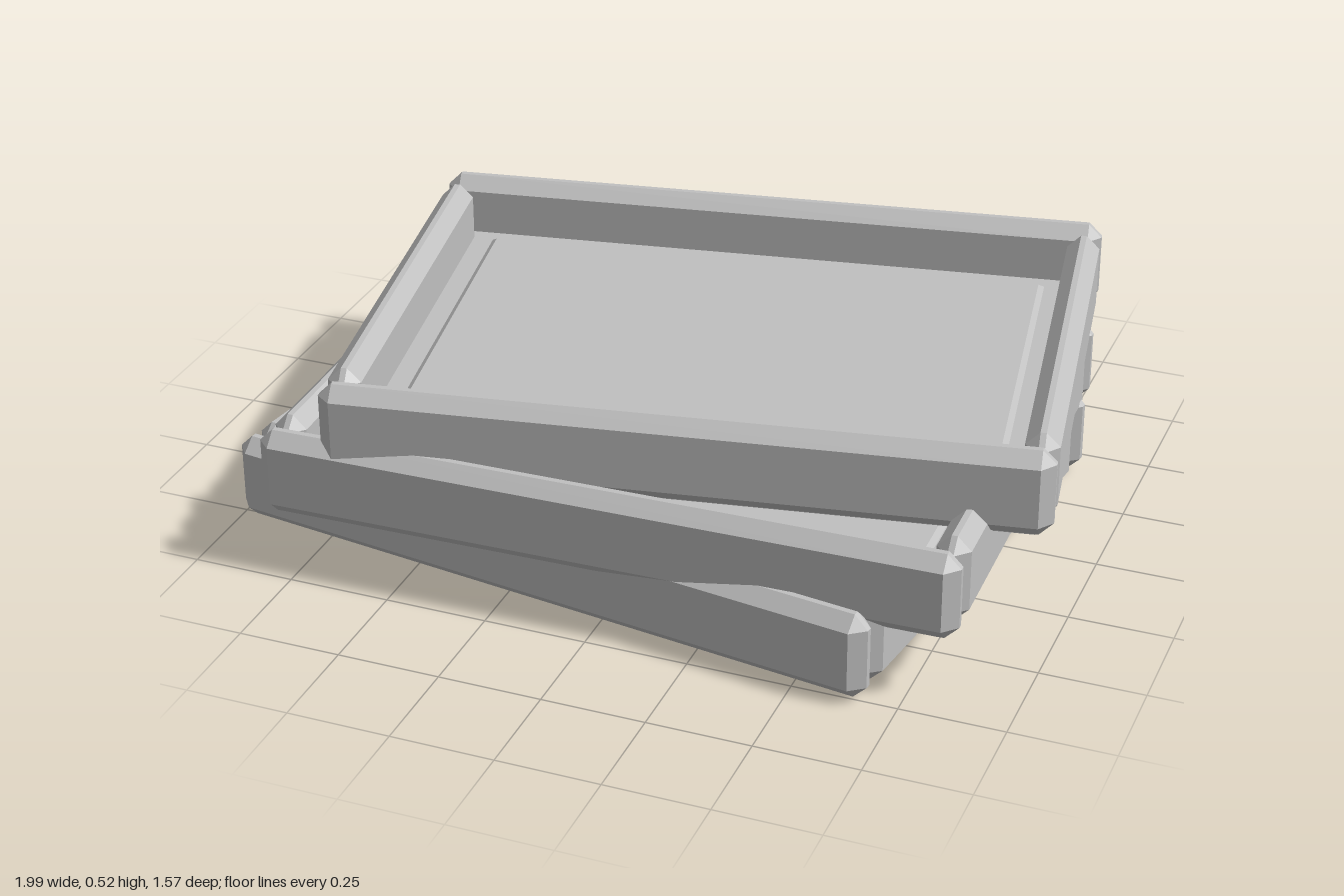
import * as THREE from 'three';
import { ConvexGeometry } from 'three/addons/geometries/ConvexGeometry.js';

const WIDTH = 1.69, DEPTH = 1.25, WALL = 0.08, BEVEL = 0.033;

// Box with every edge and corner cut off
function bevelledBox(w, h, d, c) {
  const points = [];
  const [x, y, z] = [w / 2, h / 2, d / 2];
  for (const sx of [-1, 1]) for (const sy of [-1, 1]) for (const sz of [-1, 1]) {
    points.push(
      new THREE.Vector3(sx * x, sy * (y - c), sz * (z - c)),
      new THREE.Vector3(sx * (x - c), sy * y, sz * (z - c)),
      new THREE.Vector3(sx * (x - c), sy * (y - c), sz * z)
    );
  }
  return new ConvexGeometry(points);
}

// Flat plate whose upper edge slopes inward
function raisedPlate(w, h, d, inset) {
  const points = [];
  for (const sx of [-1, 1]) for (const sz of [-1, 1]) {
    points.push(
      new THREE.Vector3(sx * w / 2, 0, sz * d / 2),
      new THREE.Vector3(sx * (w / 2 - inset), h, sz * (d / 2 - inset))
    );
  }
  return new ConvexGeometry(points);
}

export function createModel() {
  const grey = new THREE.MeshStandardMaterial({ color: 0xc0c0c0 });
  grey.name = 'plain grey';

  const wallHeight = 0.215, wallY = 0.007 + wallHeight / 2;
  const longWall = bevelledBox(WIDTH, wallHeight, WALL, BEVEL);
  const shortWall = bevelledBox(WALL, wallHeight, DEPTH - 2 * WALL, BEVEL);
  const floor = new THREE.BoxGeometry(WIDTH - 0.085, 0.076, DEPTH - 0.085);
  const panel = raisedPlate(1.43, 0.012, 1.01, 0.015);

  const part = (parent, name, geometry, x, y, z) => {
    const mesh = new THREE.Mesh(geometry, grey);
    mesh.name = name;
    mesh.position.set(x, y, z);
    parent.add(mesh);
  };

  // One open tray: floor, raised panel and four walls
  function makeTray(name) {
    const tray = new THREE.Group();
    tray.name = name;
    part(tray, 'floor', floor, 0, 0.038, 0);
    part(tray, 'floorPanel', panel, 0, 0.075, 0);
    const wx = (WIDTH - WALL) / 2, wz = (DEPTH - WALL) / 2;
    part(tray, 'frontWall', longWall, 0, wallY, wz);
    part(tray, 'backWall', longWall, 0, wallY, -wz);
    part(tray, 'leftWall', shortWall, wx, wallY, 0);
    part(tray, 'rightWall', shortWall, -wx, wallY, 0);
    return tray;
  }

  // Loose stack, each tray turned a little
  const model = new THREE.Group();
  model.name = 'trayStack';
  const stack = [
    ['bottomTray', -0.073, 0, 0.047, -8.3],
    ['middleTray', 0.003, 0.15, 0.098, 1.2],
    ['topTray', 0.056, 0.298, -0.025, 10.2]
  ];
  for (const [name, x, y, z, turn] of stack) {
    const tray = makeTray(name);
    tray.position.set(x, y, z);
    tray.rotation.y = THREE.MathUtils.degToRad(turn);
    model.add(tray);
  }
  return model;
}
